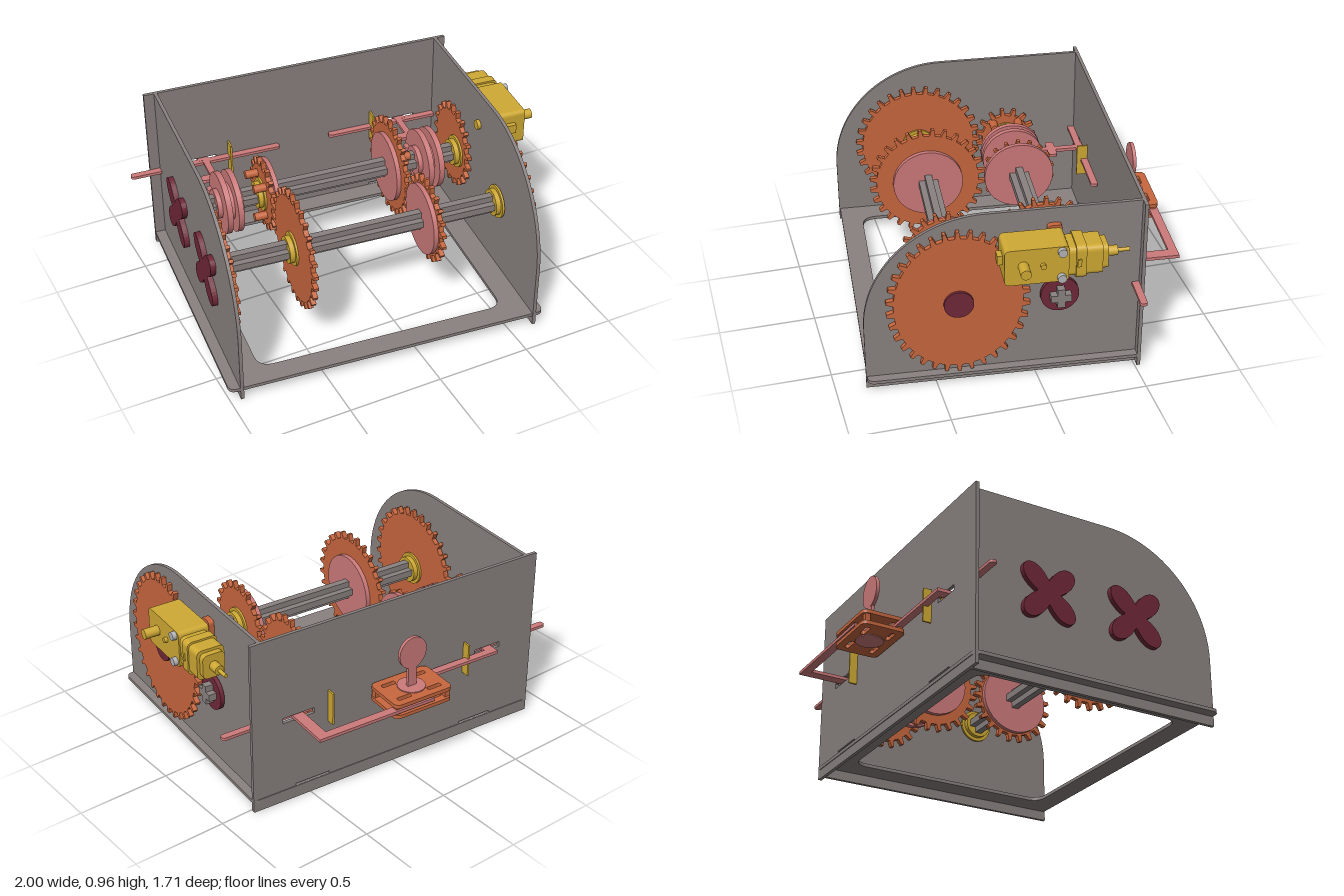
import * as THREE from 'three';

const mat = (color) => new THREE.MeshStandardMaterial({ color, roughness: 0.8, side: THREE.DoubleSide });

export function createModel() {
  const root = new THREE.Group();
  const body = new THREE.Group();
  body.name = 'machine';
  body.rotation.y = -0.098;
  root.add(body);

  const GREY = mat(0x8a8280), ORANGE = mat(0xc8673e), PINK = mat(0xcd7a7a);
  const YELLOW = mat(0xd0aa34), MAROON = mat(0x702838), STEEL = mat(0xb5b5b8);

  const add = (name, geo, material, x = 0, y = 0, z = 0) => {
    const m = new THREE.Mesh(geo, material);
    m.name = name;
    m.position.set(x, y, z);
    body.add(m);
    return m;
  };
  const box = (name, m, x0, x1, y0, y1, z0, z1) => add(name,
    new THREE.BoxGeometry(x1 - x0, y1 - y0, z1 - z0), m, (x0 + x1) / 2, (y0 + y1) / 2, (z0 + z1) / 2);
  const slab = (shape, t) => new THREE.ExtrudeGeometry(shape, { depth: t, bevelEnabled: false, curveSegments: 12 }).translate(0, 0, -t / 2);
  const upright = (shape, t) => slab(shape, t).rotateY(-Math.PI / 2); // shape x runs along z
  const flat = (shape, t) => slab(shape, t).rotateX(Math.PI / 2);     // shape y runs along z
  const discX = (name, m, r, t, x, y, z) => add(name, new THREE.CylinderGeometry(r, r, t, 32).rotateZ(Math.PI / 2), m, x, y, z);
  const discZ = (name, m, r, t, x, y, z) => add(name, new THREE.CylinderGeometry(r, r, t, 20).rotateX(Math.PI / 2), m, x, y, z);

  const roundRect = (x0, x1, y0, y1, r, S = THREE.Shape) => {
    const s = new S();
    s.moveTo(x0 + r, y0);
    s.lineTo(x1 - r, y0); s.quadraticCurveTo(x1, y0, x1, y0 + r);
    s.lineTo(x1, y1 - r); s.quadraticCurveTo(x1, y1, x1 - r, y1);
    s.lineTo(x0 + r, y1); s.quadraticCurveTo(x0, y1, x0, y1 - r);
    s.lineTo(x0, y0 + r); s.quadraticCurveTo(x0, y0, x0 + r, y0);
    return s;
  };
  const hole = (s, ...a) => s.holes.push(roundRect(...a, THREE.Path));

  // Base frame
  const base = roundRect(-0.93, 0.773, -0.61, 0.775, 0.04);
  hole(base, -0.74, 0.587, -0.485, 0.66, 0.08);
  add('baseFrame', flat(base, 0.018), GREY, 0, 0.06, 0);

  // Side plates with a rounded upper front corner
  const side = new THREE.Shape();
  side.moveTo(-0.605, 0);
  side.lineTo(0.78, 0);
  side.lineTo(0.78, 0.36);
  side.absarc(0.18, 0.36, 0.6, 0, Math.PI / 2, false);
  side.lineTo(-0.605, 0.96);
  for (const x of [-0.866, 0.718]) add('sidePlate', upright(side, 0.018), GREY, x, 0, 0);

  // Back plate with slots for the slider arms and base tabs
  const back = roundRect(-0.93, 0.773, 0, 0.96, 0.004);
  hole(back, -0.72, -0.56, 0.467, 0.497, 0.003);
  hole(back, 0.42, 0.6, 0.467, 0.497, 0.003);
  hole(back, -0.68, -0.48, 0.07, 0.082, 0.002);
  hole(back, 0.33, 0.53, 0.07, 0.082, 0.002);
  add('backPlate', slab(back, 0.018), GREY, 0, 0, -0.597);

  // Cross-section axles
  const AY = 0.478, ZR = -0.185, ZF = 0.315;
  const axle = (z, x0, x1) => {
    const s = new THREE.Shape(), a = 0.052, b = 0.019;
    [[a, -b], [a, b], [b, b], [b, a], [-b, a], [-b, b], [-a, b], [-a, -b], [-b, -b], [-b, -a], [b, -a], [b, -b]]
      .forEach(([x, y], i) => (i ? s.lineTo(x, y) : s.moveTo(x, y)));
    add('axle', upright(s, x1 - x0), GREY, (x0 + x1) / 2, AY, z);
  };
  axle(ZR, -0.89, 0.8);
  axle(ZF, -0.9, 0.768);

  // Toothed wheel; rz and ry may differ for an oval wheel, off shifts it along z
  const gear = (x, z, rz, ry = rz, off = 0) => {
    const n = Math.round((rz + ry) * 45), h = 0.036, s = new THREE.Shape();
    for (let i = 0; i < n; i++) {
      [[0, h], [0.27, h], [0.38, 0], [0.62, 0], [0.73, h], [1, h]].slice(1, 5).forEach(([f, d], k) => {
        const t = (i + f) / n * Math.PI * 2, c = (rz - h + (k === 0 || k === 3 ? 0 : h));
        const cy = ry - rz + c;
        const px = Math.cos(t) * c + off, py = Math.sin(t) * cy;
        if (i + k) s.lineTo(px, py); else s.moveTo(px, py);
      });
    }
    add('gear', upright(s, 0.026), ORANGE, x, AY, z);
  };
  // Bushing with a flange; d is the side of the gear it sits on
  const hub = (x, z, d) => {
    discX('hub', YELLOW, 0.072, 0.04, x + d * 0.03, AY, z);
    discX('hubFlange', YELLOW, 0.09, 0.012, x + d * 0.018, AY, z);
  };
  // [x, rear radius, front radius, hub side]
  for (const [x, rr, rf, d] of [[-0.833, 0.17, 0.35, 1], [-0.42, 0.2, 0.315, -1], [0.297, 0.275, 0.235, 1]]) {
    gear(x, ZR, rr);
    gear(x, ZF, rf);
    for (const z of [ZR, ZF]) {
      hub(x, z, d);
      if (x > -0.8) discX('gearDisc', PINK, 0.19, 0.024, x - d * 0.026, AY, z);
    }
    // Pegs on the rear wheel
    for (const sy of [-1, 1]) for (const sz of [-1, 1])
      discX('peg', ORANGE, 0.022, 0.07, x + d * 0.045, AY + sy * 0.09, ZR + sz * 0.07);
  }
  gear(0.697, ZR, 0.225, 0.24, -0.075);
  gear(0.742, ZF, 0.355, 0.41);
  hub(0.697, ZR, -1);
  hub(0.712, ZF, -1);

  // Axle retainers on the right, cross-shaped knobs on the left
  discX('axleCap', MAROON, 0.096, 0.022, 0.748, AY, ZR);
  discX('axleCap', MAROON, 0.074, 0.022, 0.758, AY, ZF);
  const knob = new THREE.Shape();
  for (let i = 0; i <= 96; i++) {
    const t = i / 96 * Math.PI * 2, lobe = Math.pow(Math.abs(Math.sin(2 * t)), 1.6);
    const r = 0.065 + 0.125 * lobe;
    if (i) knob.lineTo(Math.cos(t) * r, Math.sin(t) * r); else knob.moveTo(r, 0);
  }
  for (const z of [ZR, ZF]) add('crossKnob', upright(knob, 0.028), MAROON, -0.89, AY, z);

  // Paired cam discs on the rear axle with the fork that follows them
  for (const x of [-0.625, 0.5]) {
    for (const d of [-1, 1]) {
      discX('camDisc', PINK, 0.168, 0.03, x + d * 0.03, AY, ZR);
      discX('camCollar', PINK, 0.08, 0.03, x + d * 0.055, AY, ZR);
    }
    discX('camCore', PINK, 0.1, 0.04, x, AY, ZR);
    box('followerArm', PINK, x - 0.017, x + 0.017, 0.473, 0.49, -0.6, -0.27);
    for (const z of [-0.41, -0.31])
      add('followerFork', flat(roundRect(-0.07, 0.07, -0.024, 0.024, 0.02), 0.018), PINK, x, 0.481, z);
  }

  // Sliding bars inside the back plate
  for (const [x0, x1] of [[-1.04, -0.206], [0.084, 0.92]])
    add('sliderBar', flat(roundRect(x0, x1, -0.588, -0.552, 0.015), 0.016), PINK, 0, 0.481, 0);

  // Linkage behind the back plate
  box('leftLinkArm', PINK, -0.665, -0.61, 0.473, 0.49, -0.66, -0.57);
  box('leftLinkBar', PINK, -0.665, -0.1, 0.473, 0.49, -0.665, -0.625);
  box('rightLinkArm', PINK, 0.48, 0.54, 0.473, 0.49, -0.84, -0.57);
  box('rightLinkBar', PINK, -0.13, 0.54, 0.473, 0.49, -0.845, -0.8);

  // Yellow guides through the back plate
  for (const x of [-0.489, 0.336]) {
    box('guide', YELLOW, x - 0.005, x + 0.005, 0.39, 0.57, -0.65, -0.606);
    box('guide', YELLOW, x - 0.005, x + 0.005, 0.39, 0.57, -0.588, -0.53);
    box('guideNeck', YELLOW, x - 0.005, x + 0.005, 0.45, 0.51, -0.61, -0.58);
  }

  // Slotted housing: two plates around a pivot disc
  const plate = roundRect(-0.17, 0.17, -0.118, 0.118, 0.035);
  for (const d of [-1, 1]) for (const e of [-1, 1]) {
    hole(plate, d * 0.09 - 0.04, d * 0.09 + 0.04, e * 0.068 - 0.012, e * 0.068 + 0.012, 0.01);
    box('housingSpacer', ORANGE, -0.07 + d * 0.148 - 0.014, -0.07 + d * 0.148 + 0.014, 0.455, 0.505, -0.73 + e * 0.09 - 0.014, -0.73 + e * 0.09 + 0.014);
  }
  for (const y of [0.452, 0.512]) add('housingPlate', flat(plate, 0.02), ORANGE, -0.07, y, -0.73);
  add('pivotDisc', new THREE.CylinderGeometry(0.072, 0.072, 0.09, 28), PINK, -0.07, 0.482, -0.73);

  // Paddle lever standing on the pivot
  box('leverStem', PINK, -0.095, -0.045, 0.5, 0.67, -0.738, -0.722);
  const head = discZ('leverHead', PINK, 0.08, 0.018, -0.07, 0.715, -0.73);
  head.scale.y = 1.1;

  // Gear motor on the right side
  add('gearbox', upright(roundRect(-0.19, 0.12, 0.675, 0.87, 0.025), 0.165), YELLOW, 0.845, 0, 0);
  add('motorCan', slab(roundRect(-0.075, 0.075, -0.08, 0.08, 0.03), 0.17), YELLOW, 0.845, 0.768, -0.27);
  add('motorBand', slab(roundRect(-0.082, 0.082, -0.09, 0.09, 0.03), 0.05), YELLOW, 0.845, 0.768, -0.25);
  add('motorEnd', slab(roundRect(-0.06, 0.06, -0.065, 0.065, 0.03), 0.03), YELLOW, 0.845, 0.768, -0.37);
  discZ('motorBoss', YELLOW, 0.025, 0.06, 0.845, 0.768, -0.41);
  discZ('motorShaft', YELLOW, 0.01, 0.1, 0.845, 0.768, -0.45);
  box('mountTab', YELLOW, 0.82, 0.87, 0.76, 0.81, 0.115, 0.145);
  discX('outputShaft', YELLOW, 0.026, 0.09, 0.96, 0.78, 0.03);
  discX('outputShaft', YELLOW, 0.026, 0.09, 0.735, 0.78, 0.03);
  discX('gearboxStud', YELLOW, 0.014, 0.02, 0.935, 0.775, -0.065);
  box('gearboxClip', YELLOW, 0.92, 0.935, 0.75, 0.79, -0.25, -0.23);
  add('motorBracket', upright(roundRect(-0.19, -0.12, 0.655, 0.882, 0.02), 0.03), ORANGE, 0.745, 0, 0);
  for (const y of [0.7, 0.845]) discX('bolt', STEEL, 0.022, 0.22, 0.84, y, -0.155);

  return root;
}
